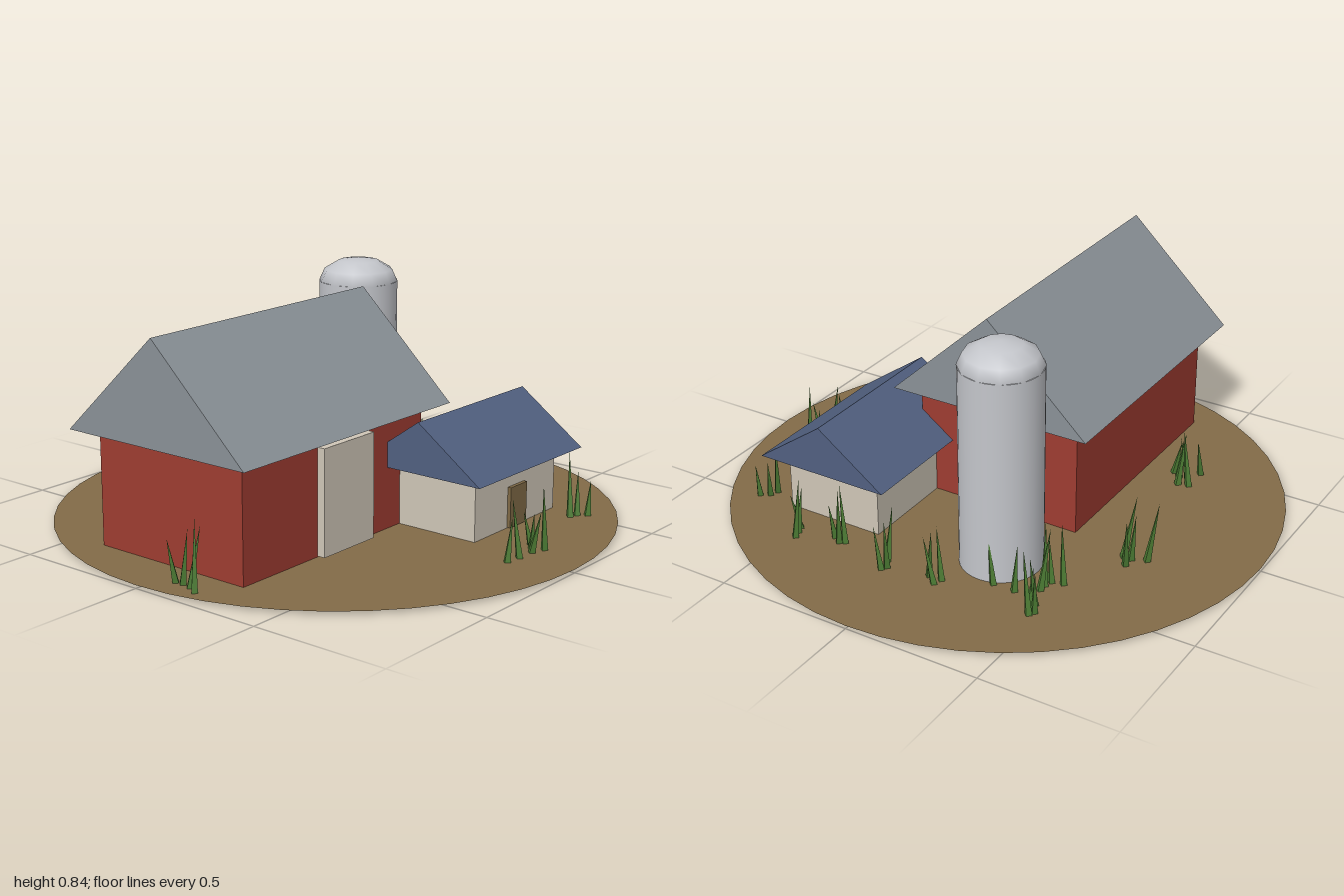
import * as THREE from 'three';

const mat = (name, color, extra = {}) =>
  Object.assign(new THREE.MeshStandardMaterial({ color, ...extra }), { name });

export function createModel() {
  const farm = new THREE.Group();
  farm.name = 'farm';
  const earth = mat('earth brown', 0x826b48, { side: THREE.DoubleSide });
  const wood = mat('door brown', 0x806a46);
  const red = mat('barn red', 0x9e3c31);
  const slate = mat('roof grey', 0x8a9197);
  const cream = mat('cream', 0xcfc6b7);
  const blue = mat('roof blue', 0x516080);
  const metal = mat('silo metal', 0xc4c6cb);
  const green = mat('grass green', 0x4b7a33, { flatShading: true });

  const add = (name, geometry, material, parent = farm) => {
    const mesh = new THREE.Mesh(geometry, material);
    mesh.name = name;
    parent.add(mesh);
    return mesh;
  };

  // Box given by its limits on each axis
  const box = (name, material, [x0, x1], [y0, y1], [z0, z1]) =>
    add(name, new THREE.BoxGeometry(x1 - x0, y1 - y0, z1 - z0), material)
      .position.set((x0 + x1) / 2, (y0 + y1) / 2, (z0 + z1) / 2);

  // Solid gable prism with its ridge along x
  const gable = (name, material, [x0, x1], [y0, y1], [z0, z1]) => {
    const half = (z1 - z0) / 2;
    const shape = new THREE.Shape([
      new THREE.Vector2(-half, 0),
      new THREE.Vector2(half, 0),
      new THREE.Vector2(0, y1 - y0),
    ]);
    const geometry = new THREE.ExtrudeGeometry(shape, { depth: x1 - x0, bevelEnabled: false });
    geometry.rotateY(Math.PI / 2);
    add(name, geometry, material).position.set(x0, y0, (z0 + z1) / 2);
  };

  // Ground disc
  const ground = add('ground', new THREE.CircleGeometry(1, 48), earth);
  ground.rotation.x = -Math.PI / 2;
  ground.position.y = 0.012;

  // Barn with its hung sliding door
  box('barnWalls', red, [-0.8, 0.13], [0.008, 0.42], [-0.355, 0.278]);
  gable('barnRoof', slate, [-0.87, 0.2], [0.42, 0.785], [-0.425, 0.35]);
  box('barnDoor', cream, [-0.467, -0.208], [0.03, 0.402], [0.305, 0.335]);

  // Small shed
  box('shedWalls', cream, [0.01, 0.498], [0.008, 0.232], [0.222, 0.597]);
  gable('shedRoof', blue, [-0.06, 0.572], [0.232, 0.415], [0.15, 0.662]);
  box('shedDoor', wood, [0.206, 0.305], [0.014, 0.16], [0.595, 0.61]);

  // Silo
  const silo = new THREE.Group();
  silo.name = 'silo';
  silo.position.set(0.407, 0, -0.224);
  farm.add(silo);
  add('siloBody', new THREE.CylinderGeometry(0.145, 0.145, 0.747, 32), metal, silo)
    .position.y = 0.3815;
  const dome = add('siloDome',
    new THREE.SphereGeometry(0.147, 12, 3, 0, Math.PI * 2, 0, Math.PI / 2), metal, silo);
  dome.scale.y = 0.6;
  dome.position.y = 0.753;

  // Grass tufts: blade roots as x, z, one tuft per row
  const tufts = [
    [-0.46, -0.55, -0.38, -0.54, -0.36, -0.55, -0.35, -0.51, -0.4, -0.49, -0.42, -0.46],
    [0.16, -0.65, 0.18, -0.6, 0.22, -0.6, 0.18, -0.57],
    [0.43, -0.48, 0.44, -0.44, 0.47, -0.43, 0.5, -0.43],
    [0.58, -0.46, 0.6, -0.45, 0.62, -0.48, 0.64, -0.47, 0.55, -0.36, 0.55, -0.28],
    [0.62, -0.12, 0.65, -0.11, 0.62, -0.07],
    [0.62, 0.1, 0.65, 0.08, 0.67, 0.09],
    [0.6, 0.29, 0.61, 0.31, 0.59, 0.34],
    [0.6, 0.48, 0.63, 0.47, 0.66, 0.46],
    [0.45, 0.7, 0.48, 0.71, 0.5, 0.74],
    [-0.08, 0.79, -0.02, 0.8],
    [0.05, 0.8, 0.08, 0.78, 0.1, 0.82, 0.11, 0.76],
    [-0.93, 0.19, -0.9, 0.08, -0.9, 0.11, -0.91, 0.15],
  ];
  let seed = 7;
  const random = () => (seed = (seed * 16807) % 2147483647) / 2147483647;
  const blade = new THREE.ConeGeometry(0.015, 1, 4).translate(0, 0.5, 0);
  const up = new THREE.Vector3(0, 1, 0);
  for (const roots of tufts) {
    const tuft = new THREE.Group();
    tuft.name = 'grassTuft';
    farm.add(tuft);
    for (let i = 0; i < roots.length; i += 2) {
      const mesh = add('grassBlade', blade, green, tuft);
      const angle = random() * Math.PI * 2;
      const lean = 0.08 + random() * 0.15;
      mesh.position.set(roots[i], 0.004, roots[i + 1]);
      mesh.scale.y = 0.13 + random() * 0.12;
      mesh.quaternion.setFromUnitVectors(up,
        new THREE.Vector3(Math.cos(angle) * lean, 1, Math.sin(angle) * lean).normalize());
    }
  }
  return farm;
}
